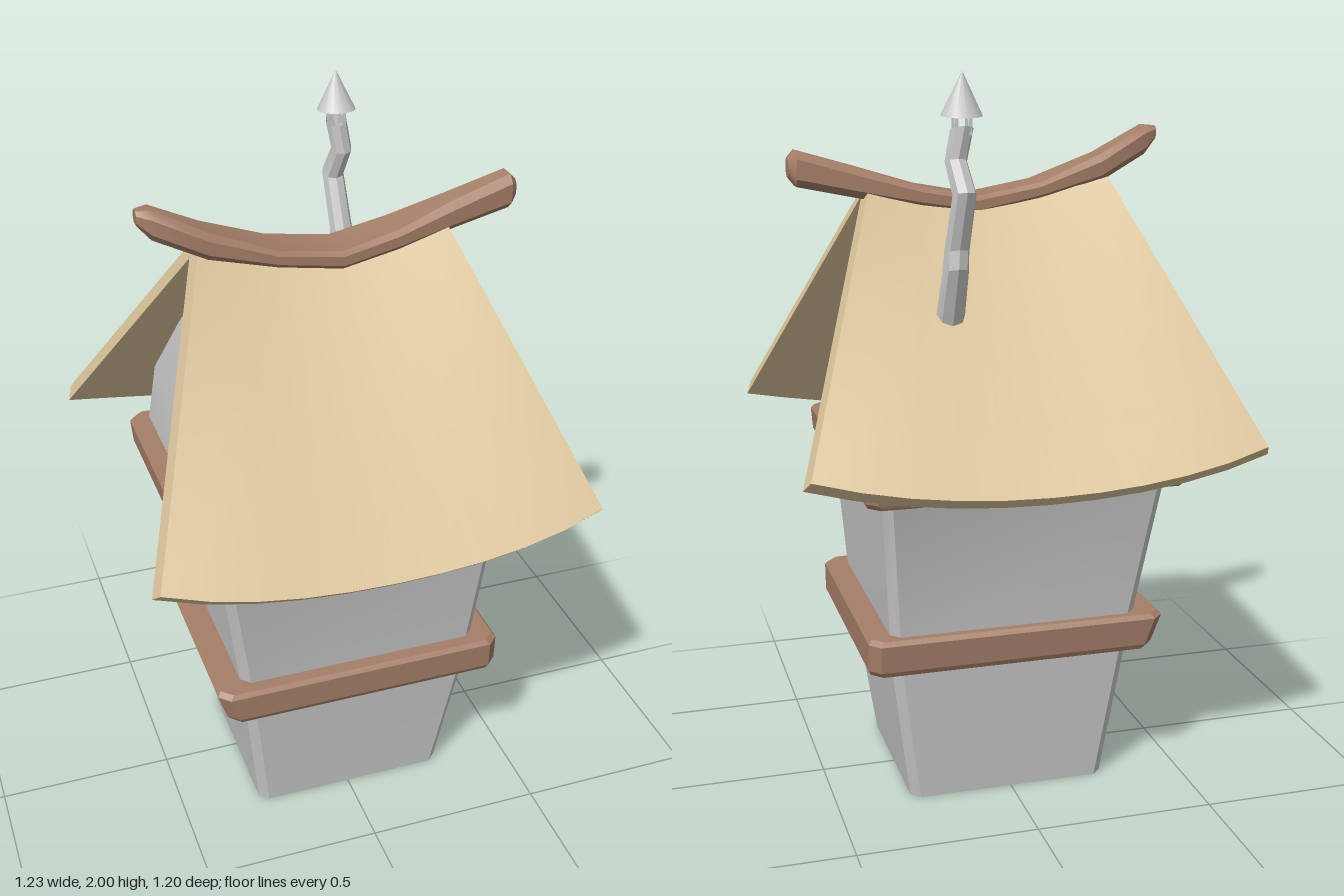
import * as THREE from 'three';
import { toCreasedNormals } from 'three/addons/utils/BufferGeometryUtils.js';

const material = (color) => new THREE.MeshStandardMaterial({ color, side: THREE.DoubleSide });

// Rectangle with cut corners, counter-clockwise seen from above
function section(y, x0, x1, z0, z1, c) {
  return [
    [x0 + c, y, z1], [x1 - c, y, z1], [x1, y, z1 - c], [x1, y, z0 + c],
    [x1 - c, y, z0], [x0 + c, y, z0], [x0, y, z0 + c], [x0, y, z1 - c],
  ];
}

// Skin over a stack of equal-length rings, with optional end caps
function loft(rings, caps = false, crease = 0.5) {
  const n = rings[0].length;
  const index = [];
  for (let i = 0; i < rings.length - 1; i++) {
    for (let j = 0; j < n; j++) {
      const a = i * n + j, b = i * n + (j + 1) % n;
      index.push(a, b, b + n, a, b + n, a + n);
    }
  }
  if (caps) {
    const top = (rings.length - 1) * n;
    for (let j = 1; j < n - 1; j++) {
      index.push(0, j + 1, j, top, top + j, top + j + 1);
    }
  }
  const geometry = new THREE.BufferGeometry();
  geometry.setAttribute('position', new THREE.Float32BufferAttribute(rings.flat(2), 3));
  geometry.setIndex(index);
  return toCreasedNormals(geometry, crease);
}

// Curved slab sloping from the ridge to a sagging eave on the +z side
function roofSlab() {
  const geometry = new THREE.BoxGeometry(2, 1, 1, 10, 1, 5);
  const p = geometry.attributes.position;
  const lerp = THREE.MathUtils.lerp;
  for (let i = 0; i < p.count; i++) {
    const u = p.getX(i), v = p.getZ(i) + 0.5;
    const inner = p.getY(i) < 0;
    const t = inner ? 0.045 : 0;
    const halfWidth = lerp(0.35, 0.615, v) - (inner ? 0 : 0.015);
    const y = lerp(1.65 + 0.05 * u * u, 0.97 + 0.075 * u * u, v);
    const z = lerp(0.03, 0.6 - 0.04 * u ** 4, v);
    p.setXYZ(i, u * halfWidth, y - 0.65 * t, z - 0.76 * t);
  }
  geometry.computeVertexNormals();
  return geometry;
}

export function createModel() {
  const model = new THREE.Group();
  const grey = material(0xcccccc);
  const wood = material(0xa67f69);
  const straw = material(0xdcc59b);

  const add = (name, geometry, mat, parent = model) => {
    const mesh = new THREE.Mesh(geometry, mat);
    mesh.name = name;
    parent.add(mesh);
    return mesh;
  };

  // Flaring walls, open below, closing into gables at the top
  add('walls', loft([
    section(0, -0.275, 0.29, -0.24, 0.265, 0.025),
    section(0.42, -0.325, 0.35, -0.3, 0.32, 0.025),
    section(0.92, -0.4, 0.385, -0.37, 0.39, 0.025),
    section(1.0, -0.405, 0.39, -0.405, 0.415, 0.025),
    section(1.18, -0.385, 0.375, -0.37, 0.375, 0.02),
    section(1.4, -0.345, 0.345, -0.19, 0.19, 0.01),
    section(1.61, -0.3, 0.3, -0.015, 0.015, 0.005),
  ]), grey);

  // Timber bands around the walls
  const band = (name, y0, y1, low, high) => {
    const inset = ([x0, x1, z0, z1], d) => [x0 + d, x1 - d, z0 + d, z1 - d];
    add(name, loft([
      section(y0, ...inset(low, 0.08), 0.02),
      section(y0, ...inset(low, 0.008), 0.03),
      section(y0 + 0.015, ...low, 0.03),
      section(y1 - 0.012, ...high, 0.03),
      section(y1, ...inset(high, 0.01), 0.03),
      section(y1, ...inset(high, 0.08), 0.02),
    ], false, 0.35), wood);
  };
  band('lowerBand', 0.415, 0.52, [-0.39, 0.42, -0.335, 0.375], [-0.415, 0.42, -0.345, 0.38]);
  band('upperBand', 0.91, 1.0, [-0.455, 0.435, -0.415, 0.44], [-0.46, 0.44, -0.425, 0.44]);

  // Two thatched slopes
  add('frontRoof', roofSlab(), straw);
  add('backRoof', roofSlab(), straw).rotation.y = Math.PI;

  // Sagging ridge beam: x, bottom, top, back z, front z
  const beam = [
    [-0.495, 1.795, 1.832, 0.02, 0.06],
    [-0.46, 1.755, 1.835, 0.0, 0.08],
    [-0.32, 1.685, 1.76, -0.03, 0.085],
    [-0.14, 1.645, 1.69, -0.045, 0.095],
    [0.04, 1.61, 1.66, -0.055, 0.085],
    [0.2, 1.635, 1.69, -0.06, 0.07],
    [0.36, 1.66, 1.74, -0.05, 0.05],
    [0.53, 1.695, 1.79, -0.045, 0.04],
    [0.55, 1.72, 1.77, -0.025, 0.02],
  ];
  add('ridgeBeam', loft(beam.map(([x, y0, y1, z0, z1]) =>
    section(x, z0, z1, y0, y1, 0.25 * Math.min(y1 - y0, z1 - z0))
      .map(([a, s, b]) => [s, b, a])), true, 0.6), wood);

  // Crooked stovepipe: x, y, z, radius
  const chimney = new THREE.Group();
  chimney.name = 'chimney';
  model.add(chimney);
  const pipe = [
    [0.175, 1.33, -0.24, 0.04],
    [0.175, 1.5, -0.315, 0.035],
    [0.172, 1.55, -0.315, 0.033],
    [0.165, 1.7, -0.368, 0.031],
    [0.178, 1.78, -0.333, 0.029],
    [0.164, 1.86, -0.34, 0.03],
  ];
  const sides = 8;
  add('stovepipe', loft(pipe.map(([x, y, z, r]) =>
    Array.from({ length: sides }, (_, j) => {
      const a = j / sides * Math.PI * 2;
      return [x + r * Math.cos(a), y + 0.3 * r * Math.sin(-a) * -1, z - r * Math.sin(a)];
    })), false, 0.3), grey, chimney);

  // Thin posts carrying the cone cap
  for (let i = 0; i < 4; i++) {
    const a = (i + 0.5) * Math.PI / 2;
    add('capPost', new THREE.BoxGeometry(0.007, 0.06, 0.007), grey, chimney)
      .position.set(0.164 + 0.025 * Math.cos(a), 1.875, -0.34 + 0.025 * Math.sin(a));
  }
  const cap = add('chimneyCap', new THREE.ConeGeometry(0.054, 0.108, 12), grey, chimney);
  cap.position.set(0.164, 1.946, -0.342);
  cap.rotation.x = -0.08;

  return model;
}
